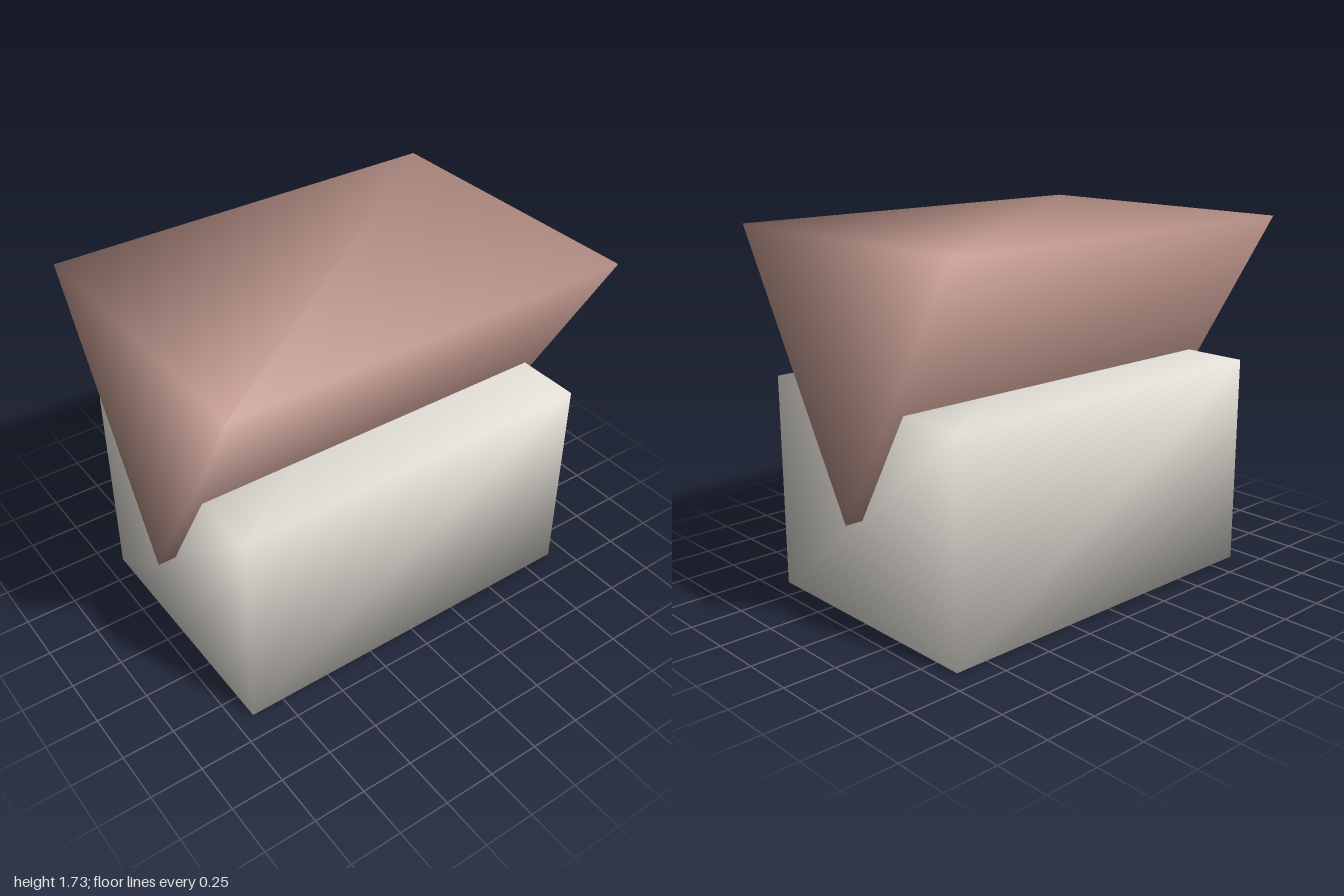
import * as THREE from 'three';
import { mergeVertices } from 'three/addons/utils/BufferGeometryUtils.js';

// Weld shared corners so the shading flows smoothly around every edge
function smoothed(geometry) {
  geometry.deleteAttribute('normal');
  geometry.deleteAttribute('uv');
  geometry.clearGroups();
  const welded = mergeVertices(geometry, 1e-4);
  welded.computeVertexNormals();
  return welded;
}

function addPart(group, name, geometry, material) {
  const mesh = new THREE.Mesh(smoothed(geometry), material);
  mesh.name = name;
  group.add(mesh);
}

export function createModel() {
  const group = new THREE.Group();
  group.name = 'blockAndWedge';

  const offWhite = new THREE.MeshStandardMaterial({ color: 0xe6e2da });
  offWhite.name = 'off white';
  const dustyPink = new THREE.MeshStandardMaterial({ color: 0xc69c92 });
  dustyPink.name = 'dusty pink';

  // Base block standing on the ground
  const base = new THREE.BoxGeometry(1.825, 1.03, 1.26).translate(0, 0.515, 0);
  addPart(group, 'baseBlock', base, offWhite);

  // Upside-down triangular prism, point sunk into the block, running along x
  const section = new THREE.Shape([
    new THREE.Vector2(0, 0.49),
    new THREE.Vector2(0.715, 1.73),
    new THREE.Vector2(-0.715, 1.73),
  ]);
  const wedge = new THREE.ExtrudeGeometry(section, { depth: 2, bevelEnabled: false })
    .translate(0, 0, -1)
    .rotateY(Math.PI / 2);
  addPart(group, 'invertedWedge', wedge, dustyPink);

  return group;
}
